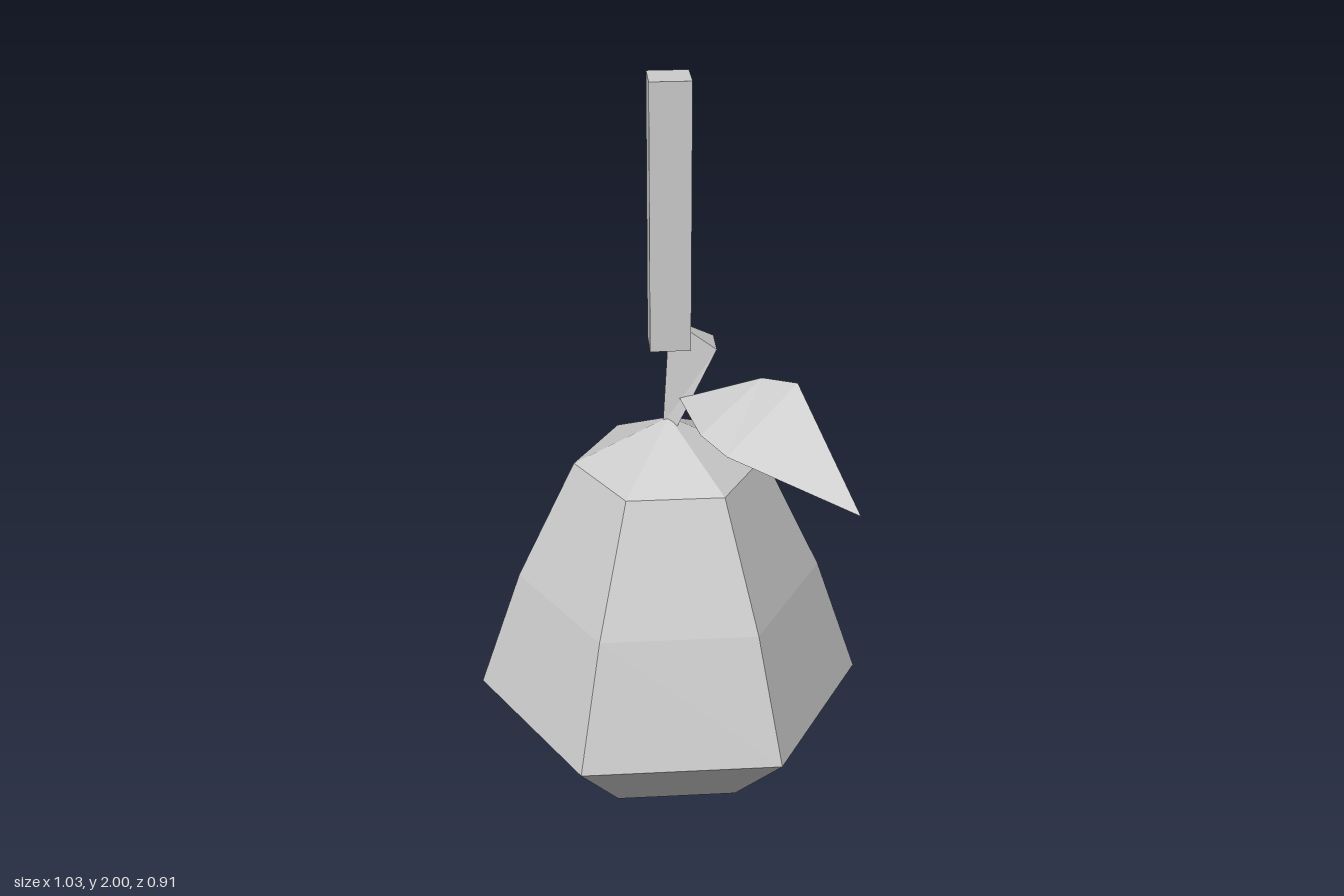
import * as THREE from 'three';

const grey = new THREE.MeshStandardMaterial({ color: 0xcccccc, flatShading: true, side: THREE.DoubleSide });
grey.name = 'light grey';

function addMesh(group, name, geometry) {
  const mesh = new THREE.Mesh(geometry, grey);
  mesh.name = name;
  group.add(mesh);
  return mesh;
}

// Faceted geometry from a few corner points and triangles
function facets(points, triangles) {
  const geometry = new THREE.BufferGeometry();
  geometry.setAttribute('position', new THREE.Float32BufferAttribute(points.flat(), 3));
  geometry.setIndex(triangles.flat());
  const flat = geometry.toNonIndexed();
  flat.computeVertexNormals();
  return flat;
}

export function createModel() {
  const model = new THREE.Group();
  model.name = 'hangingPear';

  // Six-sided fruit with corners on the x axis
  const profile = [[0, 0], [0.315, 0.106], [0.515, 0.32], [0.402, 0.655], [0.248, 0.985], [0, 1.11]]
    .map(([r, y]) => new THREE.Vector2(r, y));
  const body = addMesh(model, 'fruitBody', new THREE.LatheGeometry(profile, 6, Math.PI / 2));
  body.position.z = -0.012;

  // Square post above the fruit
  const post = addMesh(model, 'post', new THREE.BoxGeometry(0.102, 0.68, 0.102));
  post.position.set(-0.001, 1.66, -0.003);

  // Three-sided stem, flaring and leaning to a slanted top
  const stemPoints = [
    [-0.016, 1.09, -0.012], [0.018, 1.09, 0.01], [0.018, 1.09, -0.034],
    [0.0, 1.385, -0.012], [0.116, 1.315, 0.034], [0.116, 1.315, -0.057],
  ];
  const stemFaces = [[0, 2, 1], [3, 4, 5]];
  for (let i = 0; i < 3; i++) {
    const j = (i + 1) % 3;
    stemFaces.push([i, j, j + 3], [i, j + 3, i + 3]);
  }
  addMesh(model, 'stem', facets(stemPoints, stemFaces));

  // Folded leaf: base, near edge, tip, far edge
  const leafPoints = [
    [0.025, 1.17, 0.005],
    [0.06, 1.168, 0.215], [0.115, 1.155, 0.31],
    [0.42, 1.06, 0.455],
    [0.305, 1.27, 0.15], [0.225, 1.255, 0.08],
  ];
  addMesh(model, 'leaf', facets(leafPoints, [[0, 1, 5], [1, 2, 5], [2, 4, 5], [2, 3, 4]]));

  return model;
}
